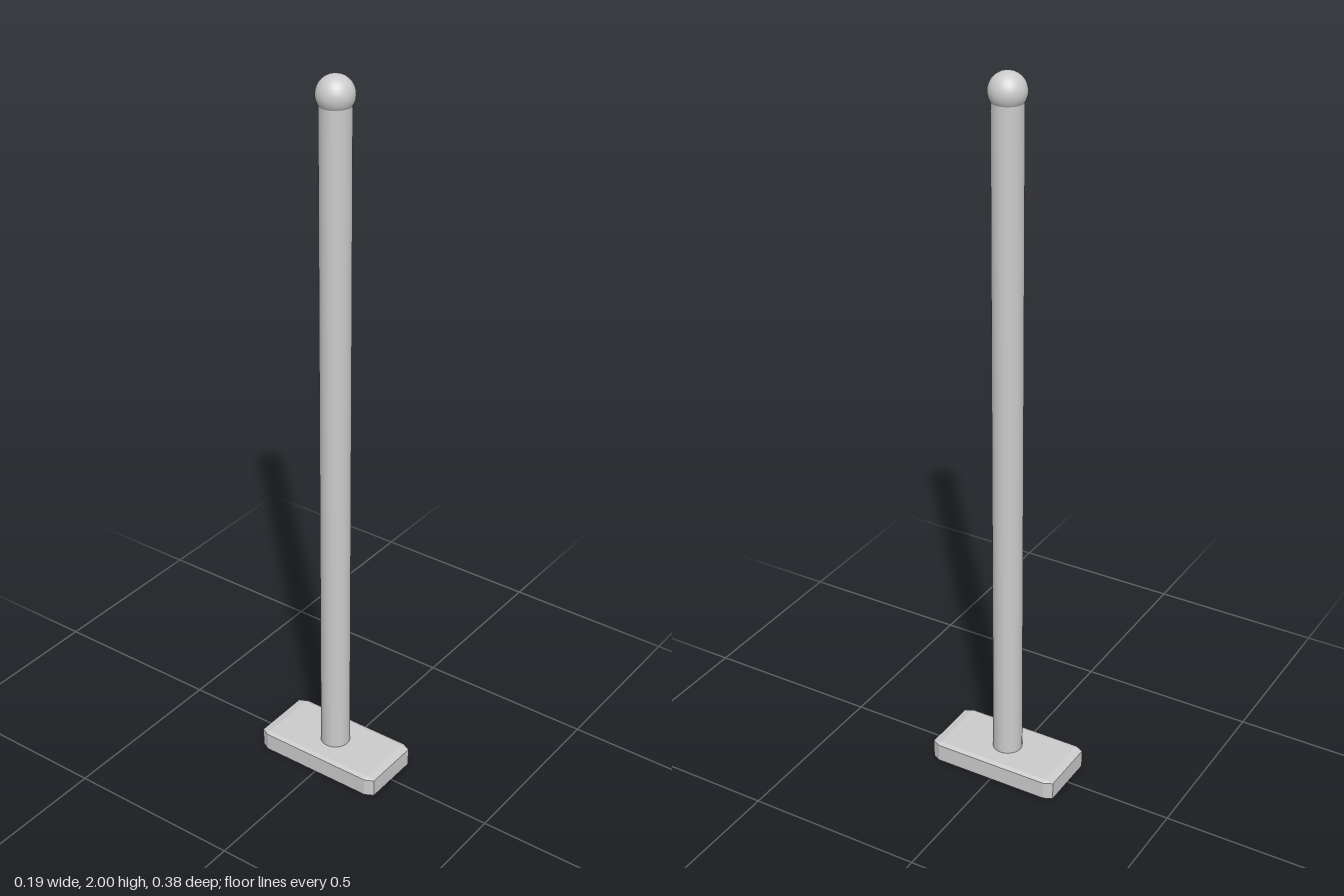
import * as THREE from 'three';
import { ConvexGeometry } from 'three/addons/geometries/ConvexGeometry.js';

export function createModel() {
  const group = new THREE.Group();
  const material = new THREE.MeshStandardMaterial({ color: 0xcccccc });
  const add = (name, geometry, y = 0) => {
    const mesh = new THREE.Mesh(geometry, material);
    mesh.name = name;
    mesh.position.y = y;
    group.add(mesh);
  };

  // Foot plate: clipped corners and a shallow bevel around the top
  const points = [];
  for (const sx of [-1, 1]) {
    for (const sz of [-1, 1]) {
      for (const y of [0, 0.051]) {
        points.push(new THREE.Vector3(sx * 0.096, y, sz * 0.168));
        points.push(new THREE.Vector3(sx * 0.084, y, sz * 0.192));
      }
      points.push(new THREE.Vector3(sx * 0.084, 0.056, sz * 0.168));
    }
  }
  add('base', new ConvexGeometry(points));

  // Upright post, running from the plate into the ball
  const bottom = 0.05, top = 1.94;
  add('post', new THREE.CylinderGeometry(0.041, 0.041, top - bottom, 32), (top + bottom) / 2);

  // Ball finial
  add('ballTop', new THREE.SphereGeometry(0.049, 32, 16), 1.951);

  return group;
}
